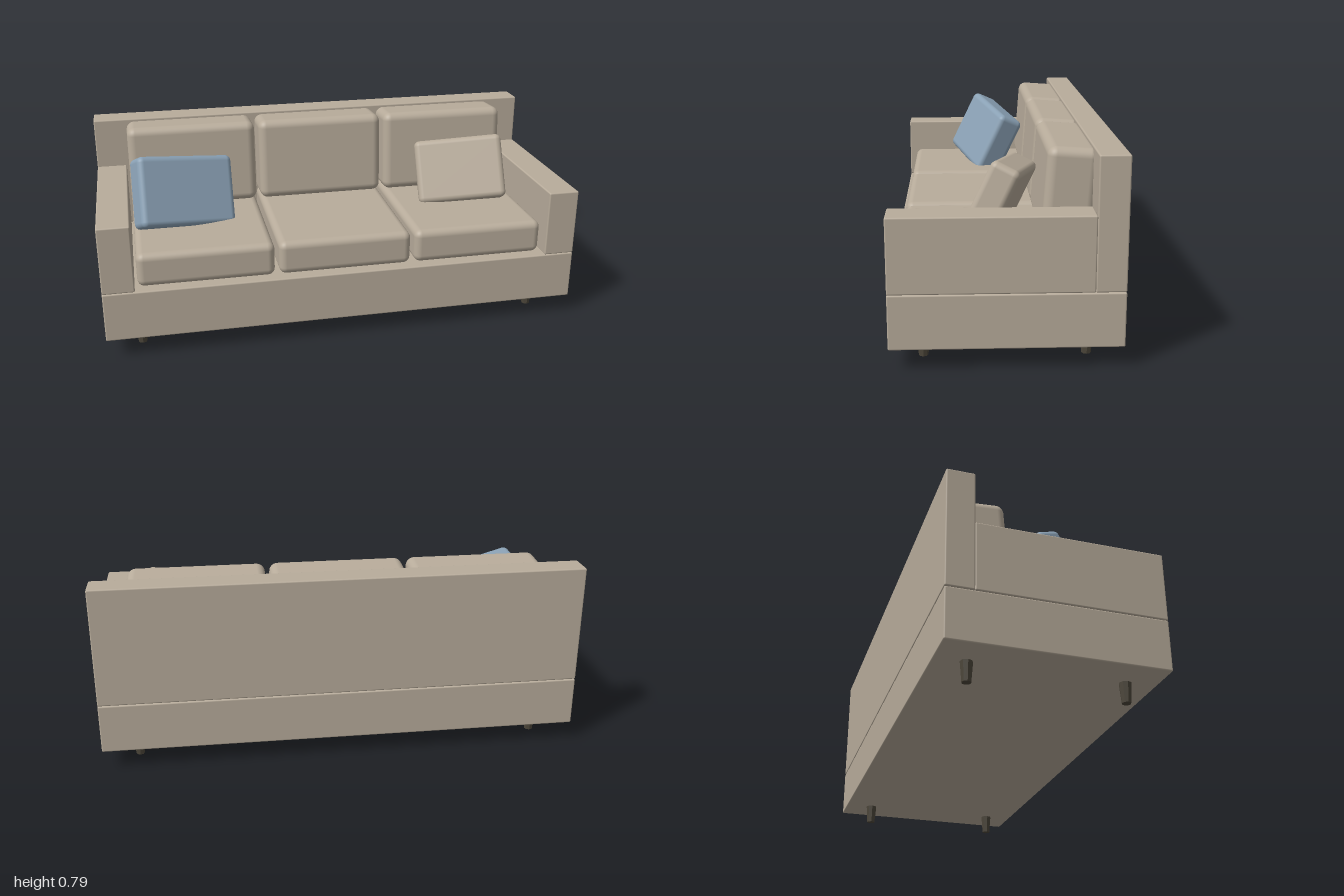
import * as THREE from 'three';
import { RoundedBoxGeometry } from 'three/addons/geometries/RoundedBoxGeometry.js';

export function createModel() {
  const sofa = new THREE.Group();
  sofa.name = 'sofa';

  const material = (name, color) => {
    const m = new THREE.MeshStandardMaterial({ color });
    m.name = name;
    return m;
  };
  const fabric = material('beigeFabric', 0xb8ac9b);
  const blue = material('blueFabric', 0x8aa1b5);
  const wood = material('darkWood', 0x4d473b);

  // Softened block given by size, edge radius, centre and tilt
  const block = (name, mat, size, radius, position, rotation = [0, 0, 0]) => {
    const mesh = new THREE.Mesh(new RoundedBoxGeometry(...size, 4, radius), mat);
    mesh.name = name;
    mesh.position.set(...position);
    mesh.rotation.set(...rotation);
    sofa.add(mesh);
  };

  // Frame: base, backrest and arms
  block('base', fabric, [2, 0.207, 0.852], 0.006, [0, 0.184, 0]);
  block('backrest', fabric, [2, 0.497, 0.112], 0.006, [0, 0.5375, -0.37]);
  for (const [side, s] of [['left', 1], ['right', -1]]) {
    block(side + 'Arm', fabric, [0.13, 0.283, 0.741], 0.006, [s * 0.935, 0.43, 0.0555]);
  }

  // Three seat cushions with slightly reclined back cushions
  ['right', 'middle', 'left'].forEach((place, i) => {
    const x = (i - 1) * 0.578;
    block(place + 'SeatCushion', fabric, [0.56, 0.143, 0.71], 0.03, [x, 0.358, 0.035]);
    block(place + 'BackCushion', fabric, [0.56, 0.36, 0.19], 0.035, [x, 0.6, -0.235], [-0.07, 0, 0]);
  });

  // Loose pillows leaning back and turned towards the middle
  block('bluePillow', blue, [0.425, 0.3, 0.125], 0.025, [-0.638, 0.55, 0.03], [-0.45, 0.34, 0]);
  block('beigePillow', fabric, [0.39, 0.285, 0.12], 0.025, [0.613, 0.552, 0.007], [-0.44, -0.27, 0]);

  // Tapered faceted legs
  const legShape = new THREE.CylinderGeometry(0.025, 0.018, 0.085, 8).toNonIndexed();
  legShape.computeVertexNormals();
  for (const x of [-0.855, 0.855]) {
    for (const z of [-0.304, 0.304]) {
      const leg = new THREE.Mesh(legShape, wood);
      leg.name = (z > 0 ? 'front' : 'back') + (x > 0 ? 'Left' : 'Right') + 'Leg';
      leg.position.set(x, 0.0425, z);
      sofa.add(leg);
    }
  }
  return sofa;
}
